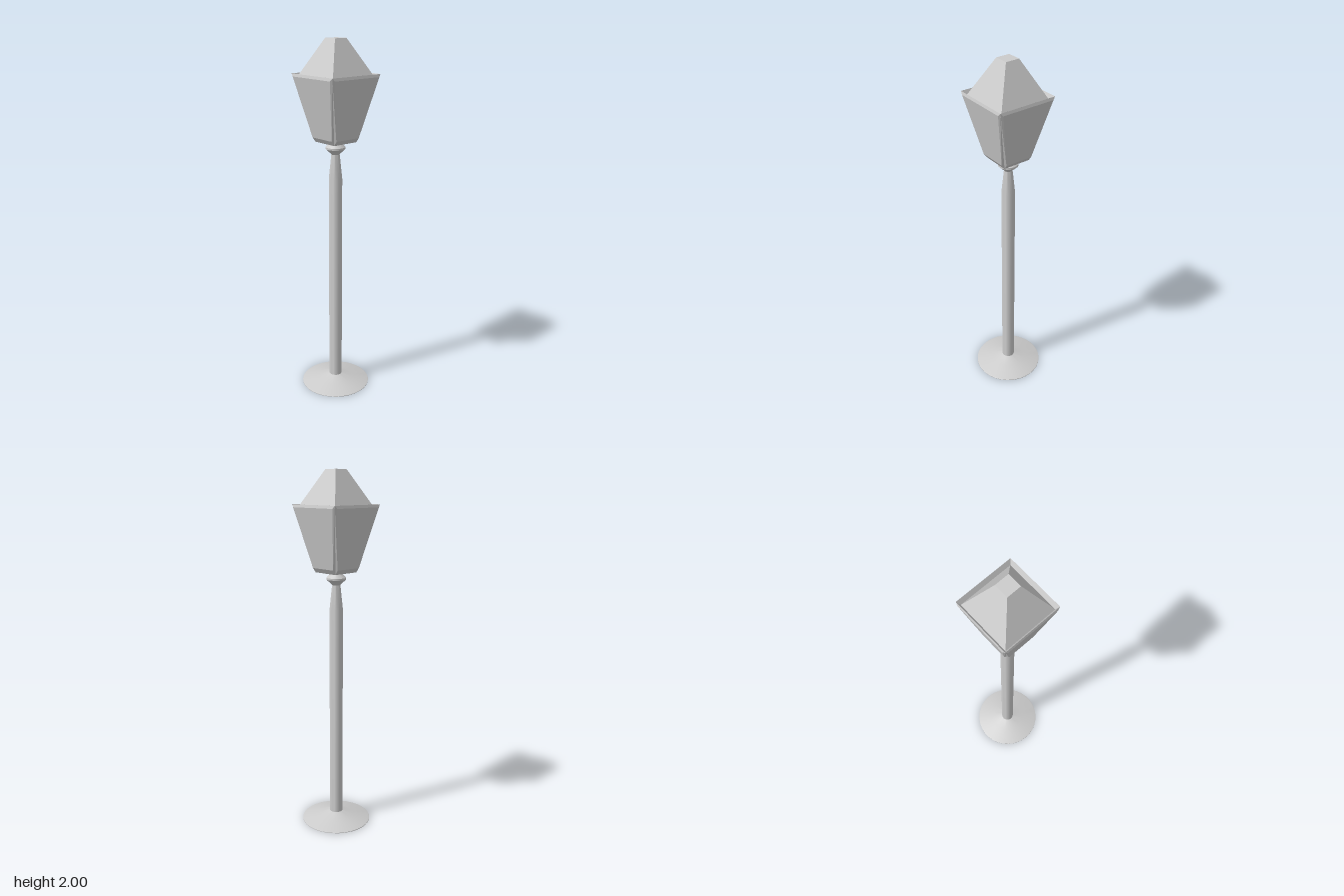
import * as THREE from 'three';
import { toCreasedNormals } from 'three/addons/utils/BufferGeometryUtils.js';
import { ConvexGeometry } from 'three/addons/geometries/ConvexGeometry.js';

const material = new THREE.MeshStandardMaterial({ color: 0xcccccc });
const TWIST = 0.482; // angle of the lantern's first corner
const CENTRE = -0.004;

// Spin a [radius, height] profile; edges sharper than the crease stay hard
function turned(name, profile, sides, crease, start = 0) {
  const points = profile.map(([r, y]) => new THREE.Vector2(r, y));
  const geometry = new THREE.LatheGeometry(points, sides, start);
  const mesh = new THREE.Mesh(toCreasedNormals(geometry, crease), material);
  mesh.name = name;
  return mesh;
}

// Raised glass panel: a bevelled slab lying on one sloping lantern side
function glassPanel(angle) {
  const rows = [ // half width, height, distance from the axis
    [0.078, 1.46, 0.078], [0.164, 1.82, 0.164],
    [0.079, 1.485, 0.096], [0.15, 1.805, 0.168],
  ];
  const points = rows.flatMap(([w, y, z]) =>
    [-1, 1].map((s) => new THREE.Vector3(s * w, y, z)));
  const mesh = new THREE.Mesh(new ConvexGeometry(points), material);
  mesh.name = 'glassPanel';
  mesh.rotation.y = angle;
  return mesh;
}

export function createModel() {
  const model = new THREE.Group();
  model.name = 'streetLamp';

  // Round foot
  model.add(turned('base', [
    [0, 0], [0.197, 0], [0.197, 0.003], [0.19, 0.006],
    [0.1, 0.024], [0.04, 0.047], [0.03, 0.05],
  ], 32, 0.6));

  // Straight post with a tapered neck
  model.add(turned('post', [
    [0.037, 0.04], [0.037, 1.255], [0.022, 1.4],
  ], 24, 0.6));

  // Collar under the lantern
  model.add(turned('collar', [
    [0.021, 1.39], [0.03, 1.4], [0.054, 1.422], [0.054, 1.432],
    [0.03, 1.456], [0.03, 1.465],
  ], 24, 0.5));

  // Four-sided lantern: body, gutter lip and cut-off roof
  const lantern = new THREE.Group();
  lantern.name = 'lantern';
  lantern.add(turned('lanternBody', [
    [0, 1.46], [0.11, 1.46], [0.232, 1.82], [0.212, 1.79],
  ], 4, 0.1, TWIST));
  lantern.add(turned('roof', [
    [0.212, 1.79], [0.055, 2], [0, 2],
  ], 4, 0.1, TWIST));
  for (let i = 0; i < 4; i++) {
    lantern.add(glassPanel(TWIST + Math.PI / 4 + (i * Math.PI) / 2));
  }
  model.add(lantern);

  // The post stands slightly off the middle of the bounds
  model.children.forEach((part) => part.position.set(CENTRE, 0, CENTRE));
  lantern.position.set(-0.001, 0, -0.002);
  return model;
}
